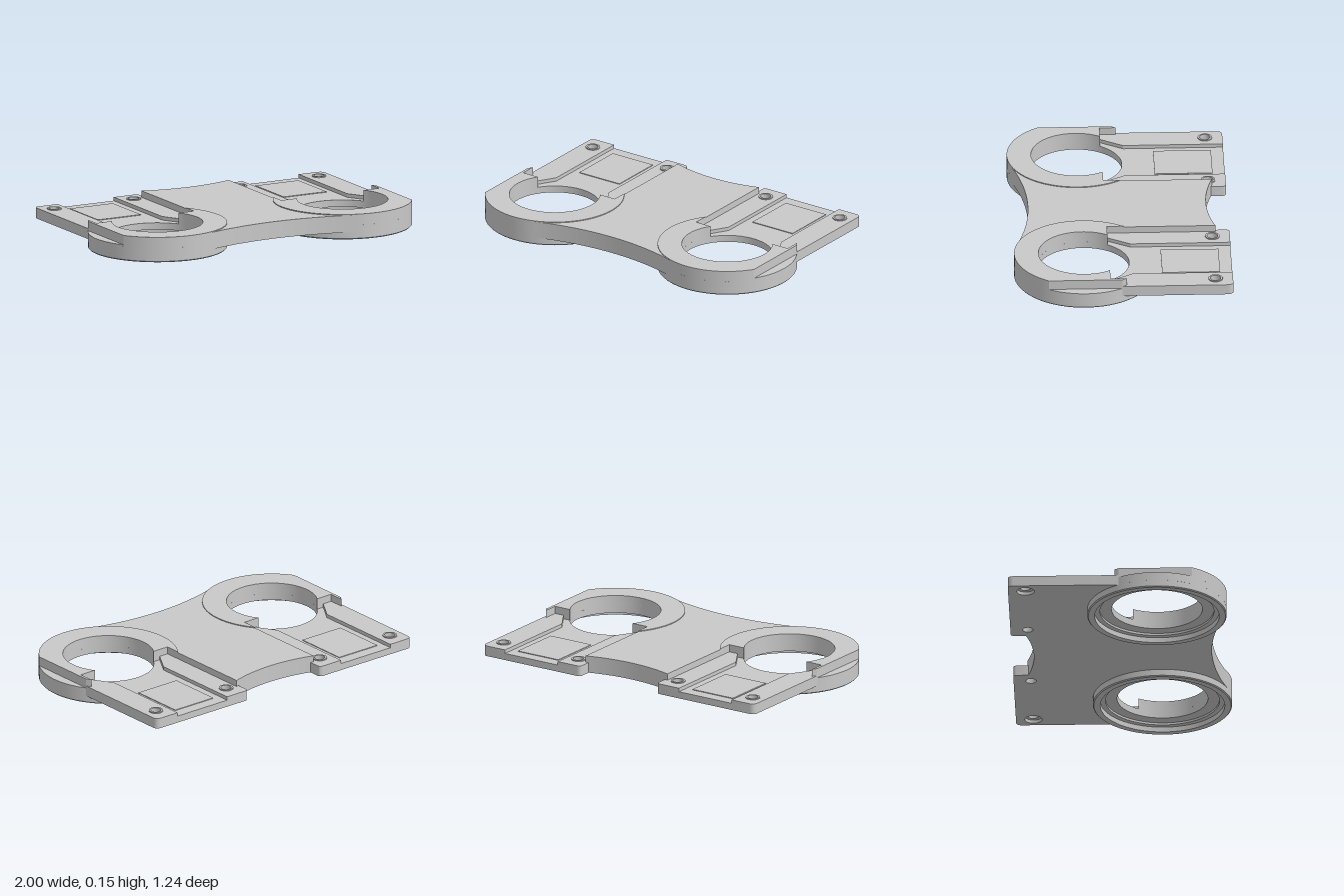
import * as THREE from 'three';
import { toCreasedNormals } from 'three/addons/utils/BufferGeometryUtils.js';

const PI = Math.PI;
// Ring centre, outer radius and bore radius
const CX = 0.603, CZ = 0.222, R = 0.397, BORE = 0.259;
// Heights of the stacked levels
const BASE = 0.043, FLOOR = 0.083, LEDGE = 0.092, RAIL = 0.104, DECK = 0.142, TOP = 0.147;

// Points of an arc in plan, as [x, z]
function arc(cx, cz, r, a0, a1, n = 32) {
  return Array.from({ length: n + 1 }, (_, i) => {
    const a = a0 + (a1 - a0) * i / n;
    return [cx + r * Math.cos(a), cz + r * Math.sin(a)];
  });
}
const circle = (x, z, r, n = 32) => arc(x, z, r, 0, 2 * PI, n).slice(0, -1);
const flip = (pts, s) => pts.map(([x, z]) => [x * s, z]);
const mirrored = half => [...half, ...flip(half, -1).reverse().slice(1, -1)];

export function createModel() {
  const group = new THREE.Group();
  const grey = new THREE.MeshStandardMaterial({ color: 0xc8c8c8 });
  grey.name = 'grey';

  function add(name, geometry) {
    const mesh = new THREE.Mesh(toCreasedNormals(geometry, 0.5), grey);
    mesh.name = name;
    group.add(mesh);
    return mesh;
  }
  // Flat slab between two heights, from a plan outline and holes
  function slab(name, pts, holes, y0, y1) {
    // Outlines run counter-clockwise and holes clockwise, so all walls face out
    const loop = (list, clockwise) => {
      const v = list.map(([x, z]) => new THREE.Vector2(x, -z));
      return THREE.ShapeUtils.isClockWise(v) === clockwise ? v : v.reverse();
    };
    const shape = new THREE.Shape(loop(pts, false));
    shape.holes = holes.map(h => new THREE.Path(loop(h, true)));
    const geo = new THREE.ExtrudeGeometry(shape, { depth: y1 - y0, bevelEnabled: false });
    geo.rotateX(-PI / 2).translate(0, y0, 0);
    return add(name, geo);
  }

  // Concave back and front edges; the front one is tangent to the lobes
  const backZ = -1.42, backR = 0.925, waistZ = 2.009, waistR = 1.489;
  const backArc = x => arc(0, backZ, backR, PI / 2, Math.acos(x / backR), 16);
  const waist = arc(0, waistZ, waistR, Math.atan2(CZ - waistZ, CX), -PI / 2, 24);
  const clip = Math.acos((0.94 - CX) / R);

  // Rounded back corners of the mounts
  const innerCorner = arc(0.285, -0.6, 0.02, PI, 1.5 * PI, 6);
  const outerCorner = arc(0.91, -0.59, 0.03, 1.5 * PI, 2 * PI, 6);

  // Base plate outline with two round lobes and two back mounts
  const outline = mirrored([
    ...backArc(0.265),
    ...innerCorner,
    ...outerCorner,
    ...arc(CX, CZ, R, -clip, Math.atan2(waistZ - CZ, -CX), 56),
    ...waist.slice(1),
  ]);
  const plateHoles = outerRadius => [1, -1].flatMap(s => [
    circle(s * CX, CZ, BORE, 72),
    circle(s * 0.345, -0.52, 0.03),
    circle(s * 0.863, -0.52, outerRadius),
  ]);
  slab('basePlateUnderside', outline, plateHoles(0.05), BASE, 0.063);
  slab('basePlate', outline, plateHoles(0.03), 0.063, FLOOR);

  // Raised deck between the rings
  slab('centreDeck', mirrored([
    ...backArc(0.284),
    [0.284, 0.08], [0.335, 0.08], [0.335, 0.36],
    ...waist,
  ]), [], FLOOR, DECK);

  // Raised ring top, cut open at the back for the mount
  const mouth = Math.asin((CZ - 0.08) / BORE);
  const ringTop = [
    [0.923, CZ - Math.sqrt(R * R - (0.923 - CX) ** 2)],
    [0.94, CZ - R * Math.sin(clip)],
    ...arc(CX, CZ, R, clip, 2 * PI - Math.acos((0.284 - CX) / R), 56),
    [0.284, 0.08],
    ...arc(CX, CZ, BORE, PI + mouth, -mouth, 56),
    [0.923, 0.08],
  ];
  // Rails on both sides of the channel, flaring towards the bore
  const outerRail = [
    [0.785, -0.62], ...outerCorner,
    [0.94, 0.08], [0.865, 0.08], [0.785, -0.05],
  ];
  const innerRail = [
    ...innerCorner, [0.42, -0.62],
    [0.42, -0.05], [0.342, 0.08], [0.28, 0.08], [0.28, -0.53], [0.265, -0.534],
  ];

  // Stepped rim below each ring
  const rimProfile = [
    [0.325, BASE + 0.001], [0.325, 0.03], [0.355, 0.03], [0.355, 0],
    [0.391, 0], [R, 0.006], [R, BASE + 0.001],
  ].map(([r, y]) => new THREE.Vector2(r, y));

  for (const s of [1, -1]) {
    const side = s > 0 ? 'left' : 'right';
    slab(side + 'RingTop', flip(ringTop, s), [], FLOOR, TOP);
    slab(side + 'RingLedge', flip(arc(CX, CZ, R, -clip, clip, 24), s), [], FLOOR, LEDGE);
    slab(side + 'OuterRail', flip(outerRail, s), [circle(s * 0.863, -0.52, 0.03)], FLOOR, RAIL);
    slab(side + 'InnerRail', flip(innerRail, s), [circle(s * 0.345, -0.52, 0.03)], FLOOR, RAIL);

    // Thin pad in the channel
    slab(side + 'ChannelPad', flip([
      [0.465, -0.55], [0.745, -0.55], [0.745, -0.22], [0.465, -0.22],
    ], s), [], FLOOR, FLOOR + 0.004);

    // Collars around the screw holes
    for (const x of [0.345, 0.863]) {
      slab(side + 'ScrewCollar', circle(s * x, -0.52, 0.041), [circle(s * x, -0.52, 0.03)], RAIL, 0.11);
    }

    add(side + 'LowerRim', new THREE.LatheGeometry(rimProfile, 72)).position.set(s * CX, 0, CZ);
  }
  return group;
}
